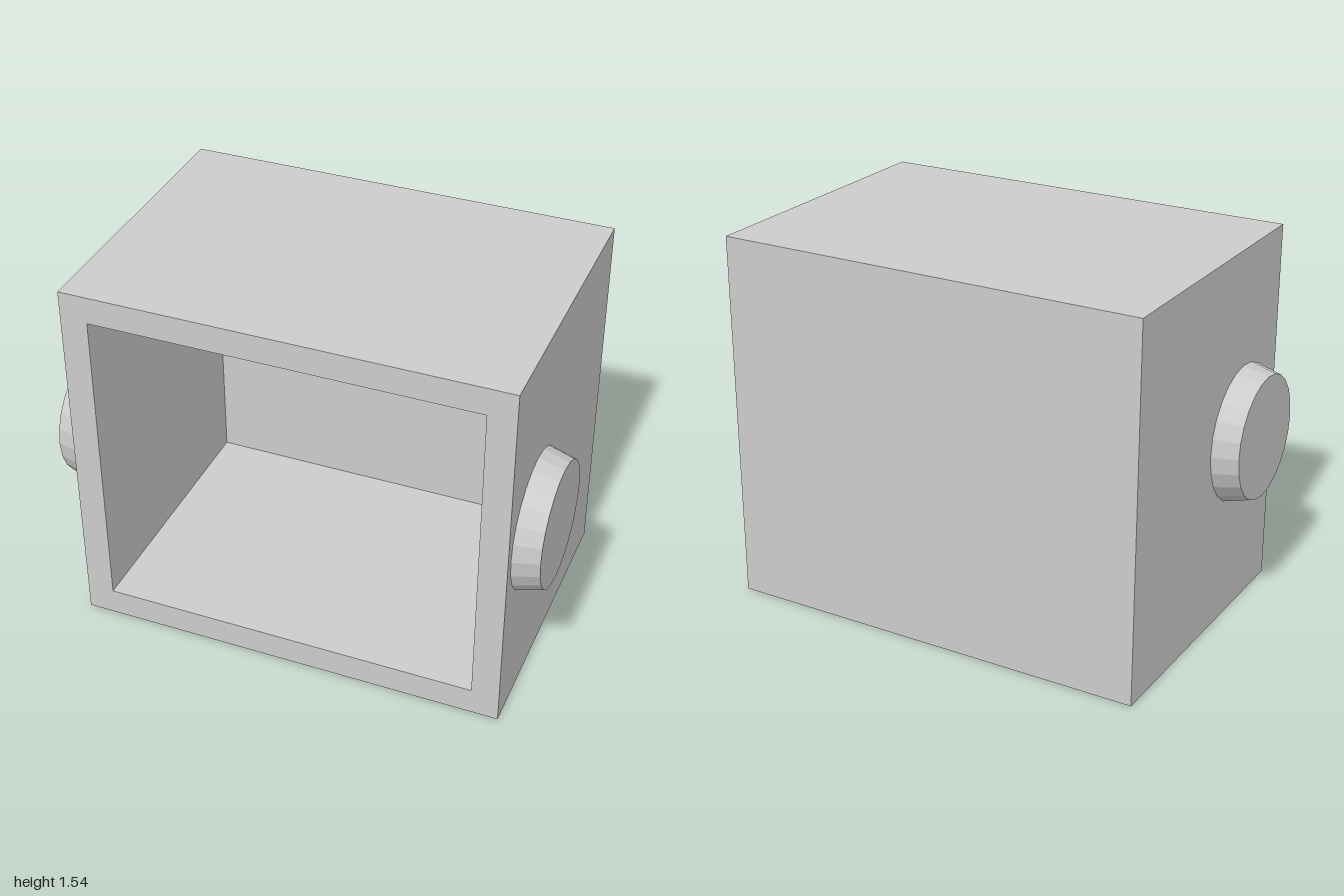
import * as THREE from 'three';

const W = 1.79, H = 1.54, D = 1.23, WALL = 0.113;

// Closed rectangle centred on the origin
function rectangle(target, w, h) {
  target.moveTo(-w / 2, -h / 2);
  target.lineTo(w / 2, -h / 2);
  target.lineTo(w / 2, h / 2);
  target.lineTo(-w / 2, h / 2);
  target.closePath();
  return target;
}

export function createModel() {
  const group = new THREE.Group();
  group.name = 'openBox';
  const grey = new THREE.MeshStandardMaterial({ color: 0xcccccc, flatShading: true });
  grey.name = 'light grey';

  const add = (name, geometry, x, y, z) => {
    const mesh = new THREE.Mesh(geometry, grey);
    mesh.name = name;
    mesh.position.set(x, y, z);
    group.add(mesh);
    return mesh;
  };

  // Four walls around the opening, from the back panel to the front
  const outline = rectangle(new THREE.Shape(), W, H);
  outline.holes.push(rectangle(new THREE.Path(), W - 2 * WALL, H - 2 * WALL));
  const walls = new THREE.ExtrudeGeometry(outline, { depth: D - WALL, bevelEnabled: false });
  add('walls', walls, 0, H / 2, -D / 2 + WALL);

  // Closed back
  add('backPanel', new THREE.BoxGeometry(W, H, WALL), 0, H / 2, -D / 2 + WALL / 2);

  // Tapered round knobs on both sides, narrower at the outer end
  const length = 1 - W / 2;
  for (const side of [1, -1]) {
    const knob = add(side > 0 ? 'leftKnob' : 'rightKnob',
      new THREE.CylinderGeometry(0.255, 0.283, length, 24),
      side * (W / 2 + length / 2), 0.77, 0.297);
    knob.rotation.z = -side * Math.PI / 2;
  }
  return group;
}
